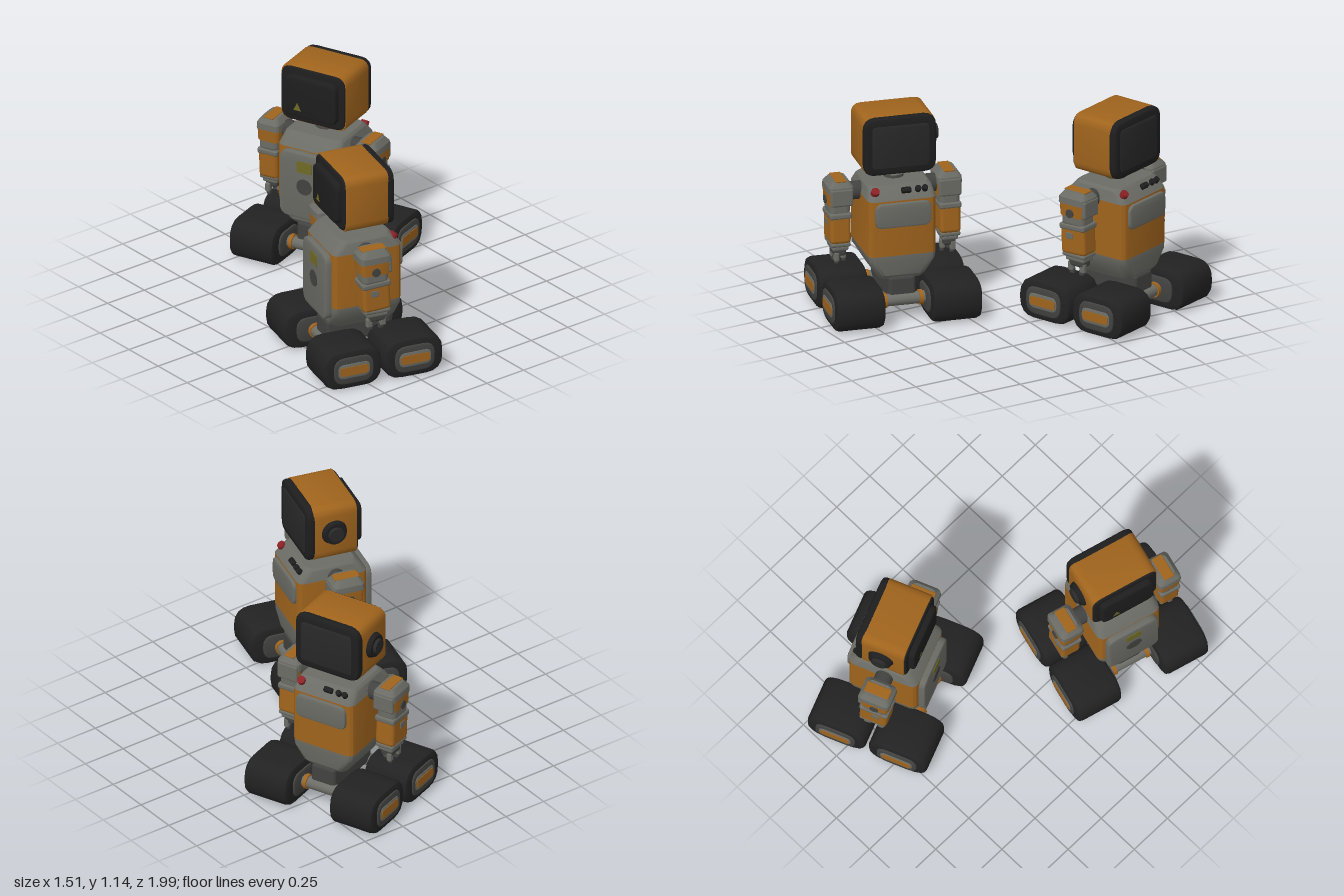
import * as THREE from 'three';
import { RoundedBoxGeometry } from 'three/addons/geometries/RoundedBoxGeometry.js';
import { toCreasedNormals } from 'three/addons/utils/BufferGeometryUtils.js';

const mat = (name, color) => {
  const m = new THREE.MeshStandardMaterial({ color });
  m.name = name;
  return m;
};

function roundedRect(w, h, r) {
  const x = w / 2, y = h / 2, s = new THREE.Shape();
  s.moveTo(-x + r, -y);
  s.lineTo(x - r, -y); s.quadraticCurveTo(x, -y, x, -y + r);
  s.lineTo(x, y - r); s.quadraticCurveTo(x, y, x - r, y);
  s.lineTo(-x + r, y); s.quadraticCurveTo(-x, y, -x, y - r);
  s.lineTo(-x, -y + r); s.quadraticCurveTo(-x, -y, -x + r, -y);
  return s;
}

// Rounded slab centred on the origin, thickness along z
function slab(w, h, depth, r, bevel) {
  const g = new THREE.ExtrudeGeometry(roundedRect(w - 2 * bevel, h - 2 * bevel, r), {
    depth: depth - 2 * bevel, bevelEnabled: bevel > 0, bevelThickness: bevel,
    bevelSize: bevel, bevelSegments: 2, curveSegments: 4,
  });
  g.translate(0, 0, -depth / 2 + bevel);
  return toCreasedNormals(g, 0.6);
}

// Loft through rounded rectangles; each ring is [y, halfWidth, halfDepth]
function loft(rings, radius, capBottom, capTop) {
  const pos = [], idx = [], n = 16;
  for (const [y, w, d] of rings) {
    for (let c = 0; c < 4; c++) for (let k = 0; k < 4; k++) {
      const a = (c + k / 3) * Math.PI / 2;
      const sx = c === 0 || c === 3 ? 1 : -1, sz = c < 2 ? 1 : -1;
      pos.push(sx * (w - radius) + radius * Math.cos(a), y, sz * (d - radius) + radius * Math.sin(a));
    }
  }
  for (let i = 0; i < rings.length - 1; i++) for (let j = 0; j < n; j++) {
    const a = i * n + j, b = i * n + (j + 1) % n;
    idx.push(a, a + n, b, b, a + n, b + n);
  }
  const top = (rings.length - 1) * n;
  for (let j = 1; j < n - 1; j++) {
    if (capBottom) idx.push(0, j, j + 1);
    if (capTop) idx.push(top, top + j + 1, top + j);
  }
  const g = new THREE.BufferGeometry();
  g.setAttribute('position', new THREE.Float32BufferAttribute(pos, 3));
  g.setIndex(idx);
  return toCreasedNormals(g, 0.5);
}

const box = (w, h, d, r) => new RoundedBoxGeometry(w, h, d, 2, r);
const cyl = (r1, r2, h, n = 24) => new THREE.CylinderGeometry(r1, r2, h, n);

function createRobot(M) {
  const robot = new THREE.Group();
  const add = (name, geo, material, x = 0, y = 0, z = 0, rx = 0, ry = 0, rz = 0, parent = robot) => {
    const m = new THREE.Mesh(geo, material);
    m.name = name;
    m.position.set(x, y, z);
    m.rotation.set(rx, ry, rz);
    parent.add(m);
    return m;
  };
  const Q = Math.PI / 2;

  // Track pods with hubs, and the axles between them
  for (const sz of [-1, 1]) {
    for (const sx of [-1, 1]) {
      const pod = new THREE.Group();
      pod.name = 'trackPod';
      pod.position.set(sx * 0.268, 0.117, sz * 0.178);
      pod.rotation.y = sx * Q;
      robot.add(pod);
      const part = (name, geo, m, z) => add(name, geo, m, 0, 0, z, 0, 0, 0, pod);
      part('track', slab(0.34, 0.226, 0.272, 0.075, 0.025), M.rubber, 0);
      part('hubRim', slab(0.23, 0.155, 0.03, 0.055, 0.008), M.darkGrey, 0.129);
      part('hubPlate', slab(0.185, 0.085, 0.012, 0.03, 0.004), M.grey, 0.141);
      part('hubBar', slab(0.165, 0.05, 0.008, 0.015, 0), M.orange, 0.146);
      part('innerHub', slab(0.2, 0.14, 0.02, 0.05, 0.006), M.darkGrey, -0.136);
    }
    add('axle', cyl(0.034, 0.034, 0.36), M.grey, 0, 0.117, sz * 0.178, 0, 0, Q);
    for (const sx of [-1, 1])
      add('axleCollar', cyl(0.042, 0.042, 0.02), M.orange, sx * 0.1, 0.117, sz * 0.178, 0, 0, Q);
  }
  add('chassis', box(0.15, 0.14, 0.38, 0.02), M.darkGrey, 0, 0.18, 0);

  // Torso in three colour bands
  add('torsoBase', loft([[0.235, 0.12, 0.17], [0.26, 0.135, 0.19], [0.34, 0.185, 0.2], [0.375, 0.19, 0.2]], 0.04, true, false), M.grey);
  add('torso', loft([[0.375, 0.19, 0.2], [0.69, 0.19, 0.2]], 0.04, false, false), M.orange);
  add('torsoTop', loft([[0.69, 0.19, 0.2], [0.748, 0.175, 0.155], [0.762, 0.16, 0.14]], 0.04, false, true), M.grey);
  add('chestPanel', slab(0.31, 0.14, 0.036, 0.03, 0.01), M.grey, 0, 0.61, 0.2);
  add('backPanel', slab(0.31, 0.39, 0.05, 0.045, 0.012), M.grey, 0, 0.49, -0.21);
  add('backLabel', slab(0.09, 0.065, 0.006, 0.005, 0), M.olive, 0, 0.605, -0.235);
  add('backVent', cyl(0.046, 0.046, 0.008), M.darkGrey, 0, 0.49, -0.235, Q);

  // Controls on the sloping front edge
  add('redButton', cyl(0.022, 0.024, 0.03), M.red, -0.145, 0.735, 0.165, 0.65);
  add('switch', box(0.055, 0.03, 0.03, 0.008), M.black, 0.025, 0.735, 0.17, 0.65);
  for (const x of [0.09, 0.128])
    add('knob', cyl(0.016, 0.017, 0.03, 16), M.black, x, 0.735, 0.17, 0.65);

  // Neck
  add('neckPost', cyl(0.03, 0.035, 0.12), M.orange, 0, 0.79, 0);
  add('neckCollar', cyl(0.038, 0.06, 0.04), M.grey, 0, 0.8, 0);
  add('neckBase', cyl(0.05, 0.06, 0.02), M.darkGrey, 0, 0.765, 0);

  // Head
  add('headShell', slab(0.4, 0.325, 0.25, 0.05, 0.006), M.orange, 0, 0.982, -0.008);
  add('screenBezel', slab(0.4, 0.325, 0.06, 0.045, 0.018), M.black, 0, 0.982, 0.122);
  add('screen', slab(0.315, 0.24, 0.008, 0.02, 0.002), M.screen, 0, 0.982, 0.152);
  add('headRear', slab(0.39, 0.315, 0.03, 0.05, 0.01), M.black, 0, 0.982, -0.128);
  add('rearHousing', slab(0.32, 0.24, 0.06, 0.03, 0.015), M.black, 0, 0.982, -0.147);
  const triangle = new THREE.Shape([[-0.024, -0.02], [0.024, -0.02], [0, 0.026]].map(p => new THREE.Vector2(...p)));
  add('warningMark', new THREE.ShapeGeometry(triangle), M.olive, 0.075, 0.925, -0.1785, 0, Math.PI);
  add('earRing', cyl(0.062, 0.074, 0.03, 28), M.black, 0.21, 0.99, 0, 0, 0, -Q);
  add('earCap', cyl(0.04, 0.045, 0.02, 24), M.screen, 0.231, 0.99, 0, 0, 0, -Q);

  // Arms
  for (const s of [-1, 1]) {
    const arm = new THREE.Group();
    arm.name = 'arm';
    arm.position.set(s * 0.3, 0, -0.025);
    robot.add(arm);
    const part = (name, geo, m, x, y, z, rx = 0, ry = 0, rz = 0) => add(name, geo, m, s * x, y, z, rx, ry, s * rz, arm);
    part('shoulderJoint', cyl(0.05, 0.05, 0.12), M.darkGrey, -0.08, 0.69, 0.01, 0, 0, Q);
    part('shoulder', loft([[0.63, 0.066, 0.08], [0.735, 0.068, 0.088]], 0.025, true, true), M.orange, 0, 0, 0);
    part('shoulderCap', loft([[0.7, 0.07, 0.09], [0.735, 0.068, 0.088], [0.768, 0.045, 0.065]], 0.025, false, true), M.grey, 0, 0, 0);
    part('shoulderStripe', box(0.06, 0.01, 0.14, 0.004), M.orange, 0, 0.767, 0);
    part('shoulderFront', box(0.125, 0.1, 0.03, 0.012), M.grey, 0, 0.68, 0.078);
    part('elbow', box(0.115, 0.09, 0.15, 0.03), M.grey, 0.004, 0.61, 0);
    part('elbowPin', cyl(0.024, 0.024, 0.02), M.darkGrey, 0.064, 0.65, -0.005, 0, 0, Q);
    part('forearm', box(0.115, 0.17, 0.16, 0.022), M.orange, 0.004, 0.495, 0.005, -0.05);
    part('forearmCuff', box(0.122, 0.035, 0.166, 0.012), M.grey, 0.004, 0.568, 0.002, -0.05);
    part('forearmBadge', box(0.008, 0.035, 0.045, 0.003), M.grey, 0.061, 0.52, -0.01);
    part('wristRing', box(0.11, 0.025, 0.15, 0.011), M.grey, 0.004, 0.408, 0.01);
    part('wrist', box(0.09, 0.03, 0.125, 0.012), M.grey, 0.004, 0.385, 0.012);
    part('palm', box(0.07, 0.045, 0.1, 0.015), M.darkGrey, 0.004, 0.36, 0.015);
    // Three fingers, each with a dark tip
    for (const [x, z] of [[0.022, -0.028], [0.022, 0.05], [-0.025, 0.012]]) {
      part('finger', box(0.03, 0.055, 0.036, 0.01), M.grey, x, 0.335, z);
      part('fingerTip', box(0.024, 0.035, 0.03, 0.008), M.darkGrey, x - 0.003, 0.308, z * 0.8);
    }
  }
  return robot;
}

export function createModel() {
  const M = {
    orange: mat('orange', 0xa0641d), grey: mat('grey', 0x6c6c66),
    darkGrey: mat('dark grey', 0x424241), rubber: mat('rubber black', 0x222222),
    black: mat('black', 0x1e1e1f), screen: mat('screen', 0x292929),
    olive: mat('olive', 0x6f6a22), red: mat('red', 0x8a2226),
  };
  const group = new THREE.Group();
  // Two robots, turned away from each other
  [['nearRobot', -0.319, 0.511, 75], ['farRobot', 0.296, -0.508, 112]].forEach(([name, x, z, deg]) => {
    const r = createRobot(M);
    r.name = name;
    r.position.set(x, 0, z);
    r.rotation.y = THREE.MathUtils.degToRad(deg);
    group.add(r);
  });
  return group;
}
